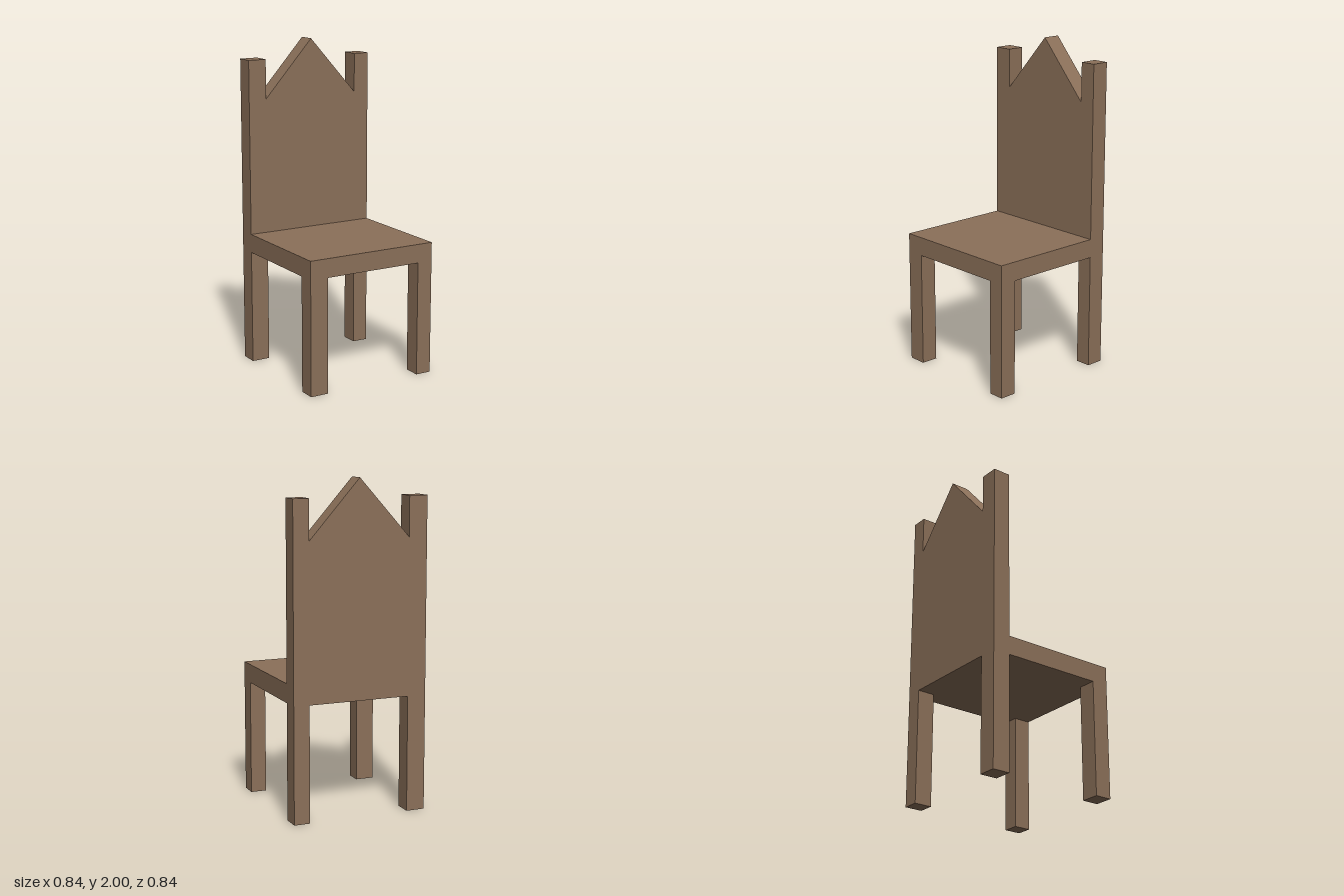
import * as THREE from 'three';

export function createModel() {
  const chair = new THREE.Group();
  chair.name = 'chair';
  const wood = new THREE.MeshStandardMaterial({ color: 0x8b7059 });
  wood.name = 'brown wood';

  // Shared limits: outer half-width, leg inner edges, seat and backrest levels
  const half = 0.42, innerRight = -0.305, innerLeft = 0.322;
  const backFront = -0.31, legBack = 0.315;
  const seatBottom = 0.705, seatTop = 0.82, postTop = 1.89;

  function add(name, geometry) {
    const mesh = new THREE.Mesh(geometry, wood);
    mesh.name = name;
    chair.add(mesh);
    return mesh;
  }

  function box(name, x0, x1, y0, y1, z0, z1) {
    add(name, new THREE.BoxGeometry(x1 - x0, y1 - y0, z1 - z0))
      .position.set((x0 + x1) / 2, (y0 + y1) / 2, (z0 + z1) / 2);
  }

  // Seat slab
  box('seat', -half, half, seatBottom, seatTop, backFront, half);

  // Front legs
  box('frontLegRight', -half, innerRight, 0, seatBottom, legBack, half);
  box('frontLegLeft', innerLeft, half, 0, seatBottom, legBack, half);

  // Backrest with rear legs, corner posts and pointed gable in one silhouette
  const outline = [
    [-half, 0], [innerRight, 0], [innerRight, seatBottom],
    [innerLeft, seatBottom], [innerLeft, 0], [half, 0],
    [half, postTop], [innerLeft, postTop], [innerLeft, 1.65],
    [0.01, 2], [innerRight, 1.65], [innerRight, postTop], [-half, postTop],
  ].map(([x, y]) => new THREE.Vector2(x, y));
  add('backrestAndRearLegs', new THREE.ExtrudeGeometry(new THREE.Shape(outline), {
    depth: half + backFront, bevelEnabled: false,
  })).position.z = -half;

  return chair;
}
